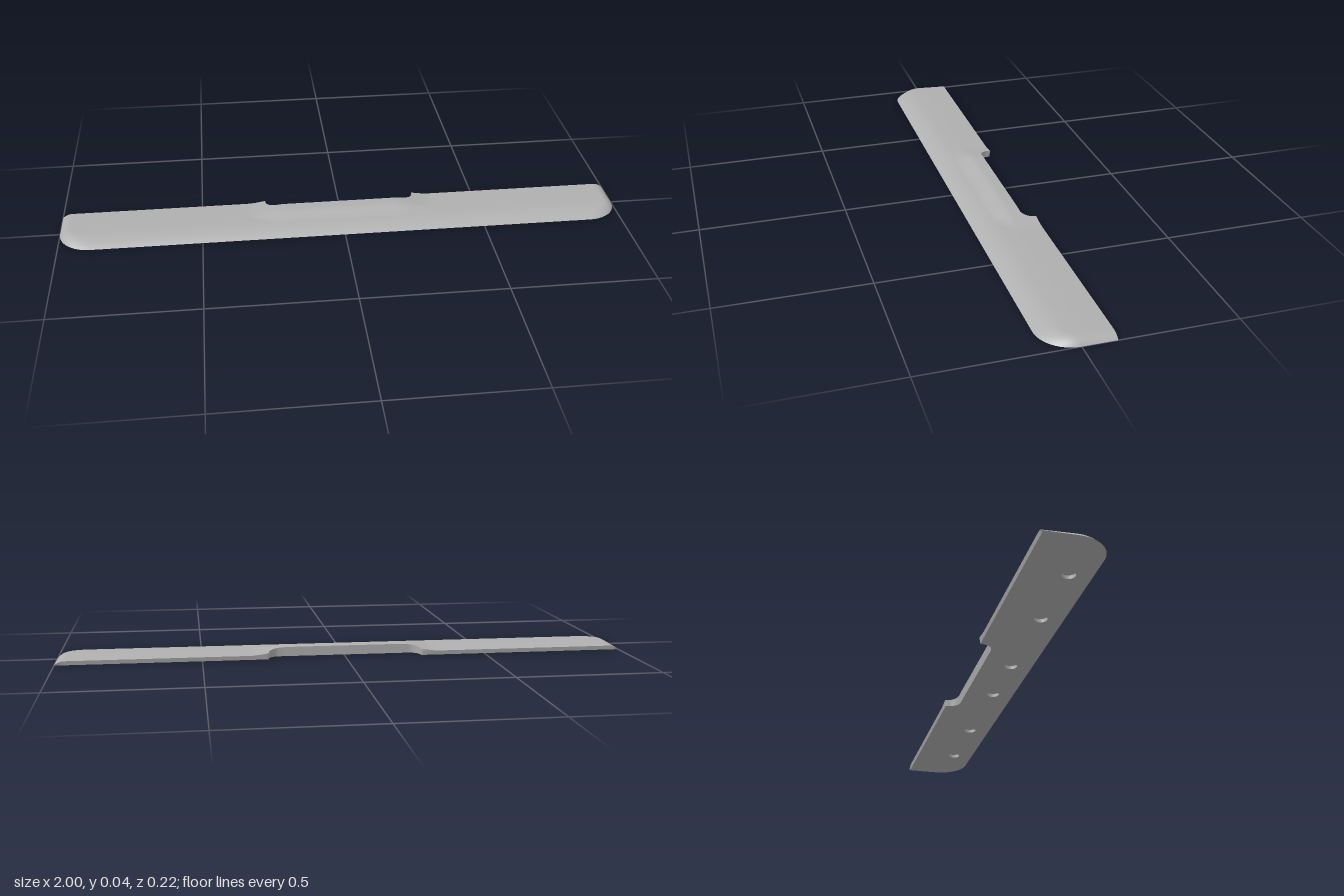
import * as THREE from 'three';

const BACK = -0.112, R = 0.112;           // rear edge, front corner radius
const NOTCH_X = 0.23, NOTCH_R = 0.04, NOTCH_Z = -0.065;
const HOLE_R = 0.022, HOLE_Z = 0.038, HOLE_DEPTH = 0.012;
const HOLES = [0.125, 0.49, 0.78];
const ROWS = 36;

const clamp01 = (v) => Math.min(1, Math.max(0, v));

// Height of the upper surface: gentle crown, rolled-off edge and raised grip
function topHeight(x, z) {
  const ax = Math.abs(x);
  let t;
  if (ax > 1 - R && z > 0) {
    const dx = ax - (1 - R), r = Math.hypot(dx, z);
    const s = (z / r) ** 2;
    t = (R - r) / (0.04 + 0.05 * s);
  } else if (z > 0) t = (R - z) / 0.09;
  else t = (1 - ax) / 0.04;
  const edge = 1 - Math.pow(1 - clamp01(t), 2.6);
  const crown = 0.0215 - 0.0065 * Math.pow(clamp01((0.03 - z) / 0.142), 1.3);
  const d = Math.hypot(Math.max(0, ax - 0.2) / 0.14, Math.max(0, z + 0.03) / 0.07);
  const hump = 0.016 * (1 - THREE.MathUtils.smoothstep(d, 0, 1));
  return crown * edge + hump;
}

// Stations along half the length: x, rear z and front z
function halfStations() {
  const list = [];
  for (let i = 0; i <= 12; i++) list.push([NOTCH_X * i / 12, NOTCH_Z, R]);
  for (let i = 1; i <= 8; i++) {
    const a = i / 8 * Math.PI / 2;
    list.push([NOTCH_X + NOTCH_R * Math.sin(a), NOTCH_Z - NOTCH_R * (1 - Math.cos(a)), R]);
  }
  for (let i = 0; i <= 8; i++) list.push([0.271 + 0.089 * i / 8, BACK, R]);
  for (let i = 1; i <= 8; i++) list.push([0.36 + (1 - R - 0.36) * i / 8, BACK, R]);
  for (let i = 1; i <= 24; i++) {
    const a = i / 24 * Math.PI / 2;
    list.push([1 - R + R * Math.sin(a), BACK, R * Math.cos(a)]);
  }
  return list;
}

// Smooth surface through a row of equal-length point lists
function loft(columns) {
  const n = columns[0].length, index = [];
  for (let i = 0; i < columns.length - 1; i++) {
    for (let j = 0; j < n - 1; j++) {
      const a = i * n + j, b = a + 1, c = a + n, d = c + 1;
      index.push(a, b, c, c, b, d);
    }
  }
  const g = new THREE.BufferGeometry();
  g.setAttribute('position', new THREE.Float32BufferAttribute(columns.flat(2), 3));
  g.setIndex(index);
  g.computeVertexNormals();
  return g;
}

export function createModel() {
  const group = new THREE.Group();
  group.name = 'gripBar';
  const grey = new THREE.MeshStandardMaterial({ color: 0xb0b0b0, side: THREE.DoubleSide });
  grey.name = 'grey';
  const add = (name, geometry) => {
    const mesh = new THREE.Mesh(geometry, grey);
    mesh.name = name;
    group.add(mesh);
    return mesh;
  };

  const half = halfStations();
  const stations = [...half.slice(1).reverse().map(([x, b, f]) => [-x, b, f]), ...half];

  // Curved upper surface
  add('topSurface', loft(stations.map(([x, b, f]) =>
    Array.from({ length: ROWS + 1 }, (_, j) => {
      const z = b + (f - b) * j / ROWS;
      return [x, topHeight(x, z), z];
    }))));

  // Slightly undercut rear wall, following the notch
  const undercut = 0.004;
  add('rearWall', loft(stations.map(([x, b]) =>
    [[x, 0, b + undercut], [x, topHeight(x, b), b]])));

  // Flat underside with round openings
  const outline = [
    ...stations.map(([x, b]) => new THREE.Vector2(x, b + undercut)),
    ...stations.slice(1, -1).reverse().map(([x, , f]) => new THREE.Vector2(x, f)),
  ];
  // Straight end pieces between rear corner and rounded front
  outline.splice(stations.length, 0, new THREE.Vector2(1, 0));
  outline.push(new THREE.Vector2(-1, 0));
  const shape = new THREE.Shape(outline);
  const holeXs = HOLES.flatMap((x) => [-x, x]);
  for (const x of holeXs) {
    shape.holes.push(new THREE.Path().absarc(x, HOLE_Z, HOLE_R, 0, Math.PI * 2, true));
  }
  add('underside', new THREE.ShapeGeometry(shape, 16).rotateX(Math.PI / 2));

  // Blind mounting holes
  const wall = new THREE.CylinderGeometry(HOLE_R, HOLE_R, HOLE_DEPTH, 32, 1, true);
  const floor = new THREE.CircleGeometry(HOLE_R, 32).rotateX(Math.PI / 2);
  for (const x of holeXs) {
    add('holeWall', wall).position.set(x, HOLE_DEPTH / 2, HOLE_Z);
    add('holeFloor', floor).position.set(x, HOLE_DEPTH, HOLE_Z);
  }
  return group;
}
